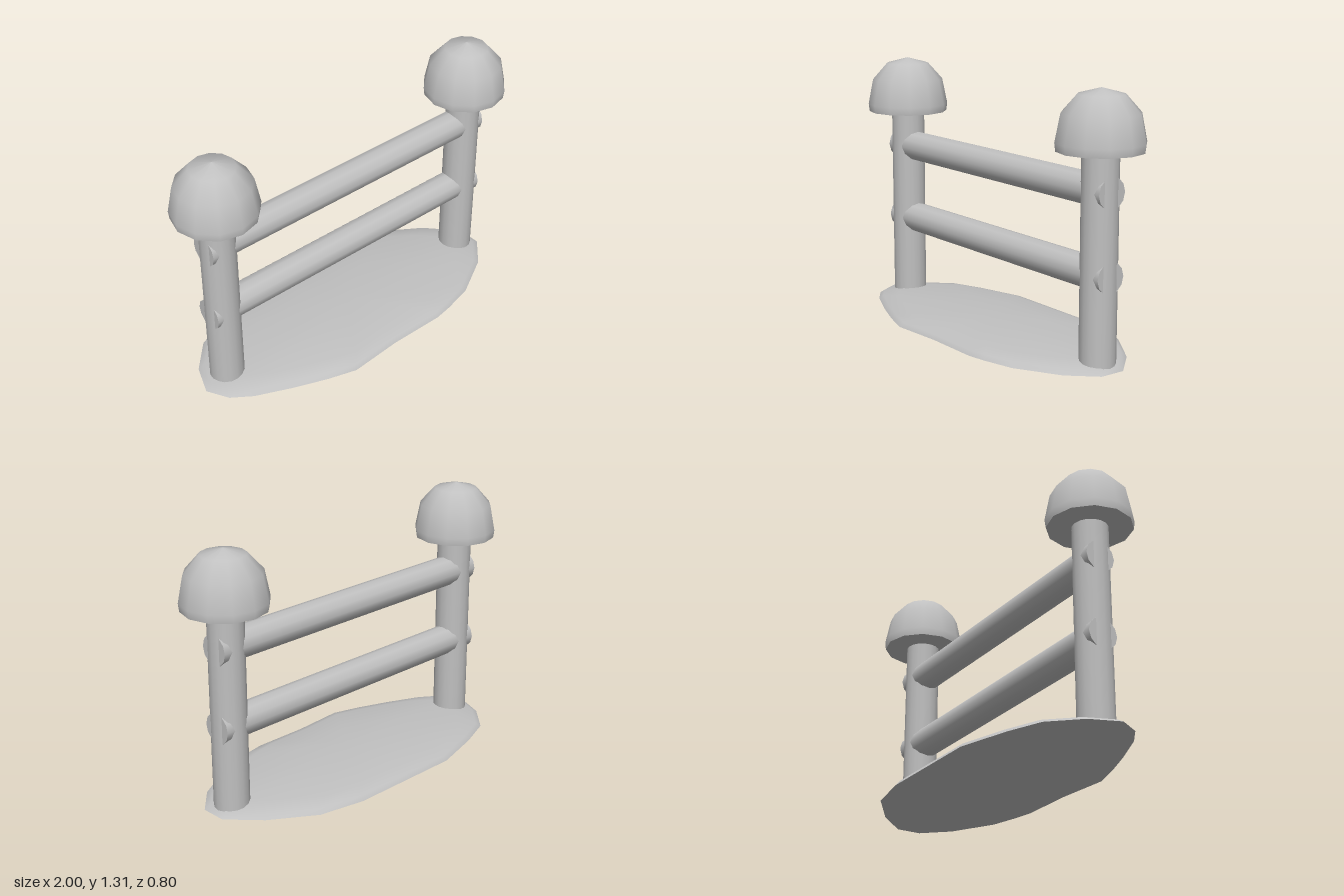
import * as THREE from 'three';

const grey = new THREE.MeshStandardMaterial({ color: 0xc0c0c0 });
grey.name = 'plain grey';

function add(parent, name, geometry, x = 0, y = 0, z = 0) {
  const mesh = new THREE.Mesh(geometry, grey);
  mesh.name = name;
  mesh.position.set(x, y, z);
  parent.add(mesh);
  return mesh;
}

// Irregular outline of the ground patch as x, z pairs
const outline = [
  [-0.94, 0.03], [-0.88, 0.14], [-0.78, 0.21], [-0.6, 0.29], [-0.43, 0.355], [-0.28, 0.4],
  [0, 0.38], [0.3, 0.382], [0.4, 0.365], [0.56, 0.325], [0.78, 0.2], [0.9, 0.07],
  [0.9, -0.06], [0.76, -0.21], [0.54, -0.355], [0.3, -0.403], [0, -0.403],
  [-0.31, -0.403], [-0.57, -0.33], [-0.75, -0.26], [-0.88, -0.12],
];

// Low mound made of shrinking rings of the outline, closed at the top centre
function moundGeometry() {
  const rings = [[1, 0], [0.96, 0.022], [0.82, 0.043], [0.45, 0.059]];
  const n = outline.length;
  const position = [];
  const index = [];
  for (const [s, y] of rings) for (const [x, z] of outline) position.push(x * s, y, z * s);
  position.push(0, 0.066, 0);
  const top = rings.length * n;
  for (let r = 0; r < rings.length; r++) {
    for (let i = 0; i < n; i++) {
      const j = (i + 1) % n;
      const a = r * n + i;
      const b = r * n + j;
      if (r === rings.length - 1) index.push(a, b, top);
      else index.push(a, b, b + n, a, b + n, a + n);
    }
  }
  const geometry = new THREE.BufferGeometry();
  geometry.setAttribute('position', new THREE.Float32BufferAttribute(position, 3));
  geometry.setIndex(index);
  geometry.computeVertexNormals();
  return geometry;
}

export function createModel() {
  const fence = new THREE.Group();
  fence.name = 'fence';

  // Ground patch with a flat underside
  const ground = new THREE.Group();
  ground.name = 'groundPatch';
  fence.add(ground);
  add(ground, 'mound', moundGeometry());
  const shape = new THREE.Shape(outline.map(([x, z]) => new THREE.Vector2(x, z)));
  add(ground, 'underside', new THREE.ShapeGeometry(shape)).rotation.x = Math.PI / 2;

  // Domed cap profile, with a separate flat underside for a crisp rim
  const dome = [[0.207, 0], [0.212, 0.04], [0.186, 0.172], [0.11, 0.258], [0, 0.287]]
    .map(([r, y]) => new THREE.Vector2(r, y));

  for (const side of [-1, 1]) {
    const post = new THREE.Group();
    post.name = side > 0 ? 'leftPost' : 'rightPost';
    post.position.x = side * 0.787;
    fence.add(post);
    add(post, 'shaft', new THREE.CylinderGeometry(0.088, 0.088, 1.02, 16), 0, 0.525, 0);
    add(post, 'cap', new THREE.LatheGeometry(dome, 12), 0, 1.02, 0);
    const under = add(post, 'capUnderside', new THREE.CircleGeometry(0.207, 12), 0, 1.02, 0);
    under.rotation.x = Math.PI / 2;
  }

  // Two rails whose ends break slightly through the posts
  for (const [name, y] of [['upperRail', 0.835], ['lowerRail', 0.442]]) {
    const rail = add(fence, name, new THREE.CylinderGeometry(0.078, 0.078, 1.728, 12), 0, y, -0.004);
    rail.rotation.z = Math.PI / 2;
  }

  return fence;
}
